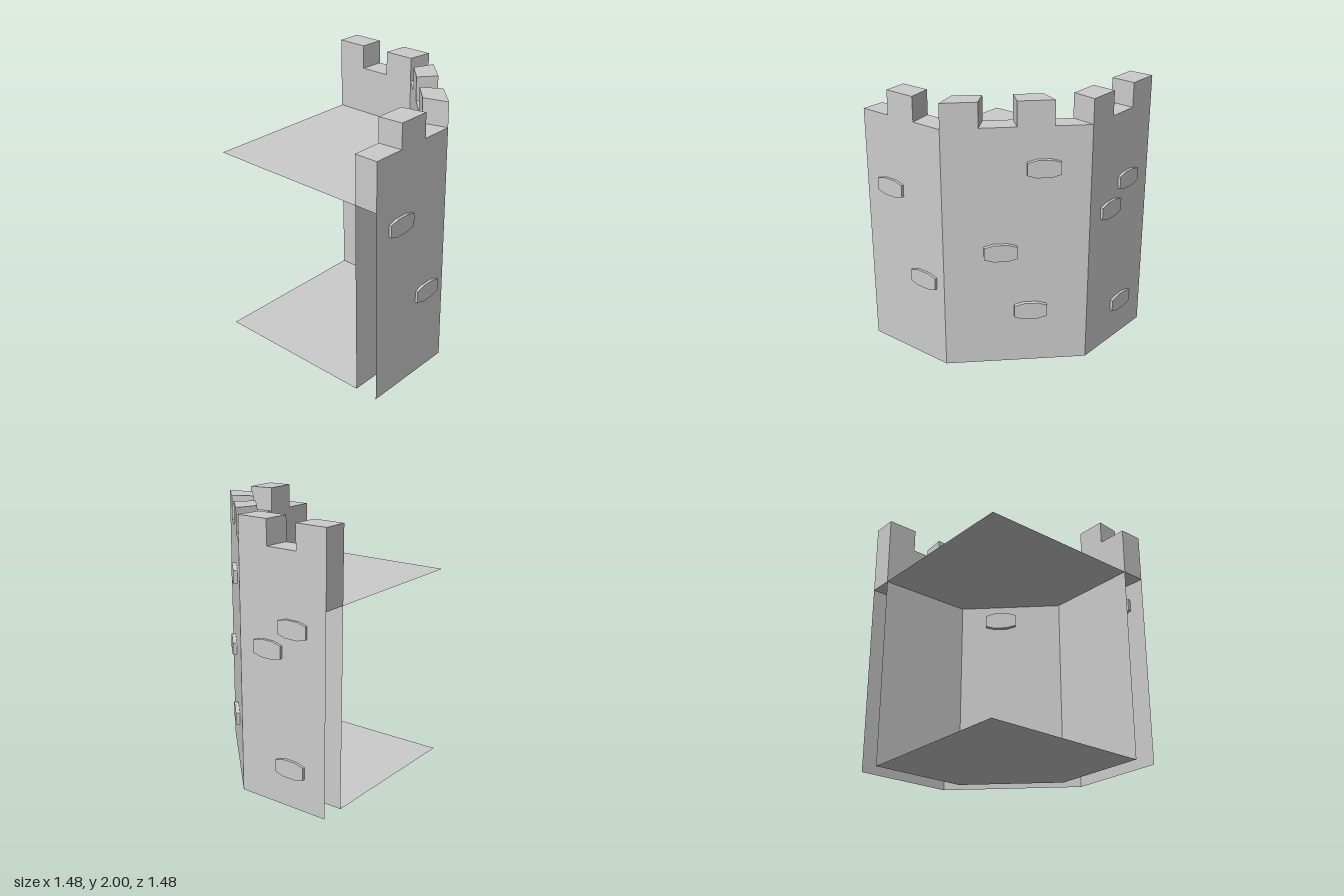
import * as THREE from 'three';

const material = new THREE.MeshStandardMaterial({ color: 0xcccccc, flatShading: true, side: THREE.DoubleSide });

// Plan outlines as [x, z], from the back wall round to the right wall
const OUTER = [[-0.74, -0.72], [-0.015, -0.72], [0.715, 0.01], [0.715, 0.735]];
const INNER = [[-0.74, -0.535], [-0.015, -0.535], [0.535, 0.01], [0.535, 0.735]];
const PARAPET = [[-0.74, -0.535], [-0.04, -0.535], [0.535, 0.06], [0.535, 0.735]];
const FRONT_CORNER = [-0.74, 0.735];
const DECK = 1.46, WALK = 1.82, TOP = 2;

const lerp = (a, b, t) => [a[0] + (b[0] - a[0]) * t, a[1] + (b[1] - a[1]) * t];
const planShape = (pts) => new THREE.Shape(pts.map(([x, z]) => new THREE.Vector2(x, -z)));

function add(parent, name, geometry) {
  const mesh = new THREE.Mesh(geometry, material);
  mesh.name = name;
  parent.add(mesh);
  return mesh;
}

// Upright prism over a plan outline
function prism(parent, name, pts, y0, y1) {
  const g = new THREE.ExtrudeGeometry(planShape(pts), { depth: y1 - y0, bevelEnabled: false });
  add(parent, name, g.rotateX(-Math.PI / 2)).position.y = y0;
}

// Flat sheet over a plan outline
function sheet(parent, name, pts, y) {
  add(parent, name, new THREE.ShapeGeometry(planShape(pts)).rotateX(-Math.PI / 2)).position.y = y;
}

// Thin upright panels along a plan line, facing outward
function panels(parent, name, pts, y0, y1) {
  for (let i = 0; i < pts.length - 1; i++) {
    const [a, b] = [pts[i], pts[i + 1]];
    const dx = b[0] - a[0], dz = b[1] - a[1];
    const mesh = add(parent, name, new THREE.PlaneGeometry(Math.hypot(dx, dz), y1 - y0));
    mesh.position.set((a[0] + b[0]) / 2, (y0 + y1) / 2, (a[1] + b[1]) / 2);
    mesh.rotation.y = Math.atan2(dz, -dx);
  }
}

// Stone with bowed long edges; its outer face is centred on the given point
function stoneGeometry(depth) {
  const outline = [
    [-0.1175, -0.045], [-0.05, -0.064], [0.05, -0.064], [0.1175, -0.045],
    [0.1175, 0.045], [0.05, 0.064], [-0.05, 0.064], [-0.1175, 0.045],
  ].map(([x, y]) => new THREE.Vector2(x, y));
  return new THREE.ExtrudeGeometry(new THREE.Shape(outline), { depth, bevelEnabled: false }).translate(0, 0, -depth);
}

export function createModel() {
  const model = new THREE.Group();
  model.name = 'towerCorner';

  // Floors
  sheet(model, 'groundFloor', [...INNER, FRONT_CORNER], 0);
  sheet(model, 'upperFloor', [...OUTER, FRONT_CORNER], DECK);

  // Hollow lower walls, open at the ends and underneath
  panels(model, 'outerWall', OUTER, 0, DECK);
  panels(model, 'innerWall', INNER, 0, DECK);

  // Solid parapet and its merlons
  prism(model, 'parapet', [...OUTER, ...[...PARAPET].reverse()], DECK, WALK);
  const merlons = [
    { count: 3, raised: [0, 2] },
    { count: 4, raised: [1, 3] },
    { count: 3, raised: [1] },
  ];
  merlons.forEach(({ count, raised }, i) => {
    for (const k of raised) {
      const t0 = k / count, t1 = (k + 1) / count;
      prism(model, 'merlon', [
        lerp(OUTER[i], OUTER[i + 1], t0), lerp(OUTER[i], OUTER[i + 1], t1),
        lerp(PARAPET[i], PARAPET[i + 1], t1), lerp(PARAPET[i], PARAPET[i + 1], t0),
      ], WALK, TOP);
    }
  });

  // Projecting stones: x, y, z of the outer face and the turn about y
  const stone = stoneGeometry(0.045);
  const diagonal = Math.PI * 0.75;
  const stones = [
    [-0.4725, 1.293, -0.74, Math.PI], [-0.262, 1.12, -0.74, Math.PI], [-0.45, 0.29, -0.74, Math.PI],
    [0.735, 1.285, 0.4925, Math.PI / 2], [0.735, 0.645, 0.1975, Math.PI / 2],
    [0.24, 1.523, -0.508, diagonal], [0.452, 0.898, -0.295, diagonal], [0.3, 0.425, -0.448, diagonal],
    [0.183, 1.33, -0.295, -Math.PI / 4],
  ];
  for (const [x, y, z, turn] of stones) {
    const mesh = add(model, 'wallStone', stone);
    mesh.position.set(x, y, z);
    mesh.rotation.y = turn;
  }
  return model;
}
